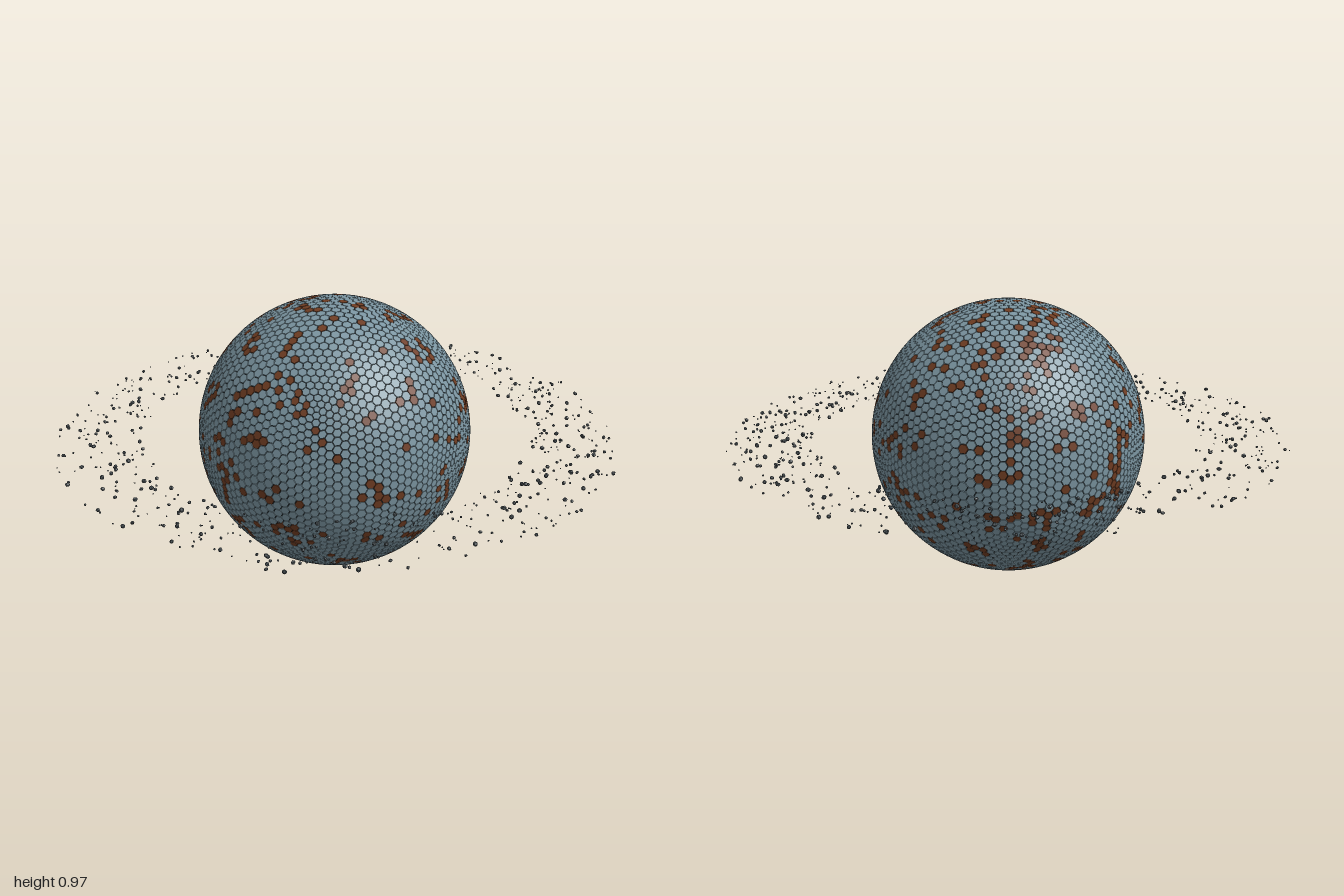
import * as THREE from 'three';
import { mergeGeometries, mergeVertices } from 'three/addons/utils/BufferGeometryUtils.js';

const RADIUS = 0.484;
const CENTRE = new THREE.Vector3(-0.005, 0.489, -0.005);

// Small seeded generator
function seeded(seed) {
  return () => {
    seed = (seed * 1664525 + 1013904223) >>> 0;
    return seed / 4294967296;
  };
}

const material = (color) => new THREE.MeshStandardMaterial({ color, flatShading: true });

// Cells of a subdivided icosahedron's dual: hexagons with twelve pentagons
function sphereCells(detail) {
  const ico = new THREE.IcosahedronGeometry(1, detail);
  ico.deleteAttribute('normal');
  ico.deleteAttribute('uv');
  const geo = mergeVertices(ico, 1e-4);
  const pos = geo.attributes.position;
  const index = geo.index.array;
  const cells = [];
  for (let i = 0; i < pos.count; i++) {
    cells.push({ normal: new THREE.Vector3().fromBufferAttribute(pos, i).normalize(), corners: [] });
  }
  for (let f = 0; f < index.length; f += 3) {
    const tri = [cells[index[f]], cells[index[f + 1]], cells[index[f + 2]]];
    const mid = new THREE.Vector3();
    tri.forEach((c) => mid.add(c.normal));
    mid.normalize();
    tri.forEach((c) => c.corners.push(mid));
  }
  // Order the corners counter-clockwise seen from outside
  for (const { normal, corners } of cells) {
    const u = corners[0].clone().projectOnPlane(normal).normalize();
    const v = normal.clone().cross(u);
    corners.sort((a, b) => Math.atan2(a.dot(v), a.dot(u)) - Math.atan2(b.dot(v), b.dot(u)));
  }
  return cells;
}

// Appends one thin prism: a flat outer face and its side walls
function addTile(out, cell, gap, depth) {
  const mid = new THREE.Vector3();
  cell.corners.forEach((c) => mid.add(c));
  mid.divideScalar(cell.corners.length);
  const top = cell.corners.map((c) => mid.clone().lerp(c, gap).multiplyScalar(RADIUS));
  const low = top.map((p) => p.clone().multiplyScalar(1 - depth / RADIUS));
  const tri = (...pts) => pts.forEach((p) => out.push(p.x, p.y, p.z));
  const n = top.length;
  for (let i = 0; i < n; i++) {
    const j = (i + 1) % n;
    if (i > 0 && j > 0) tri(top[0], top[i], top[j]);
    tri(low[i], low[j], top[j]);
    tri(low[i], top[j], top[i]);
  }
}

function tileMesh(name, positions, color) {
  const geo = new THREE.BufferGeometry();
  geo.setAttribute('position', new THREE.Float32BufferAttribute(positions, 3));
  geo.computeVertexNormals();
  const mesh = new THREE.Mesh(geo, material(color));
  mesh.name = name;
  return mesh;
}

function createPlanet() {
  const planet = new THREE.Group();
  planet.name = 'planet';
  const random = seeded(7);
  const plain = [];
  const rust = [];
  for (const cell of sphereCells(19)) {
    // Rust gathers in small patches
    const { x, y, z } = cell.normal;
    const patch = Math.sin(17 * x + 5 * y + 1) + Math.sin(19 * y - 6 * z + 2) + Math.sin(18 * z + 7 * x);
    const chance = patch > 1.1 ? 0.42 : 0.06;
    addTile(random() < chance ? rust : plain, cell, 0.93, 0.01);
  }
  planet.add(tileMesh('plainTiles', plain, 0x7b95a1));
  planet.add(tileMesh('rustTiles', rust, 0x6e3c22));

  // Dark core showing through the joints
  const core = new THREE.Mesh(
    new THREE.SphereGeometry(RADIUS - 0.006, 64, 40),
    new THREE.MeshStandardMaterial({ color: 0x20282c })
  );
  core.name = 'core';
  planet.add(core);
  return planet;
}

// Flat belt of small tumbling rocks
function createRockRing(count, inner, outer, halfHeight) {
  const random = seeded(41);
  const rocks = [];
  const base = new THREE.DodecahedronGeometry(1, 0);
  for (let i = 0; i < count; i++) {
    const angle = random() * Math.PI * 2;
    const r = inner + (outer - inner) * random();
    const size = 0.0025 + 0.006 * random() ** 1.5;
    const rock = base.clone();
    rock.scale(size, size * (0.7 + 0.3 * random()), size * (0.8 + 0.3 * random()));
    rock.rotateX(random() * 6.28);
    rock.rotateY(random() * 6.28);
    rock.translate(r * Math.cos(angle), (random() * 2 - 1) * halfHeight, r * Math.sin(angle));
    rocks.push(rock);
  }
  const ring = new THREE.Mesh(mergeGeometries(rocks), material(0x50585c));
  ring.name = 'rockRing';
  return ring;
}

export function createModel() {
  const model = new THREE.Group();
  model.name = 'ringedPlanet';
  const planet = createPlanet();
  planet.position.copy(CENTRE);
  const ring = createRockRing(720, 0.68, 0.99, 0.011);
  ring.position.set(0, CENTRE.y, 0);
  model.add(planet, ring);
  return model;
}
